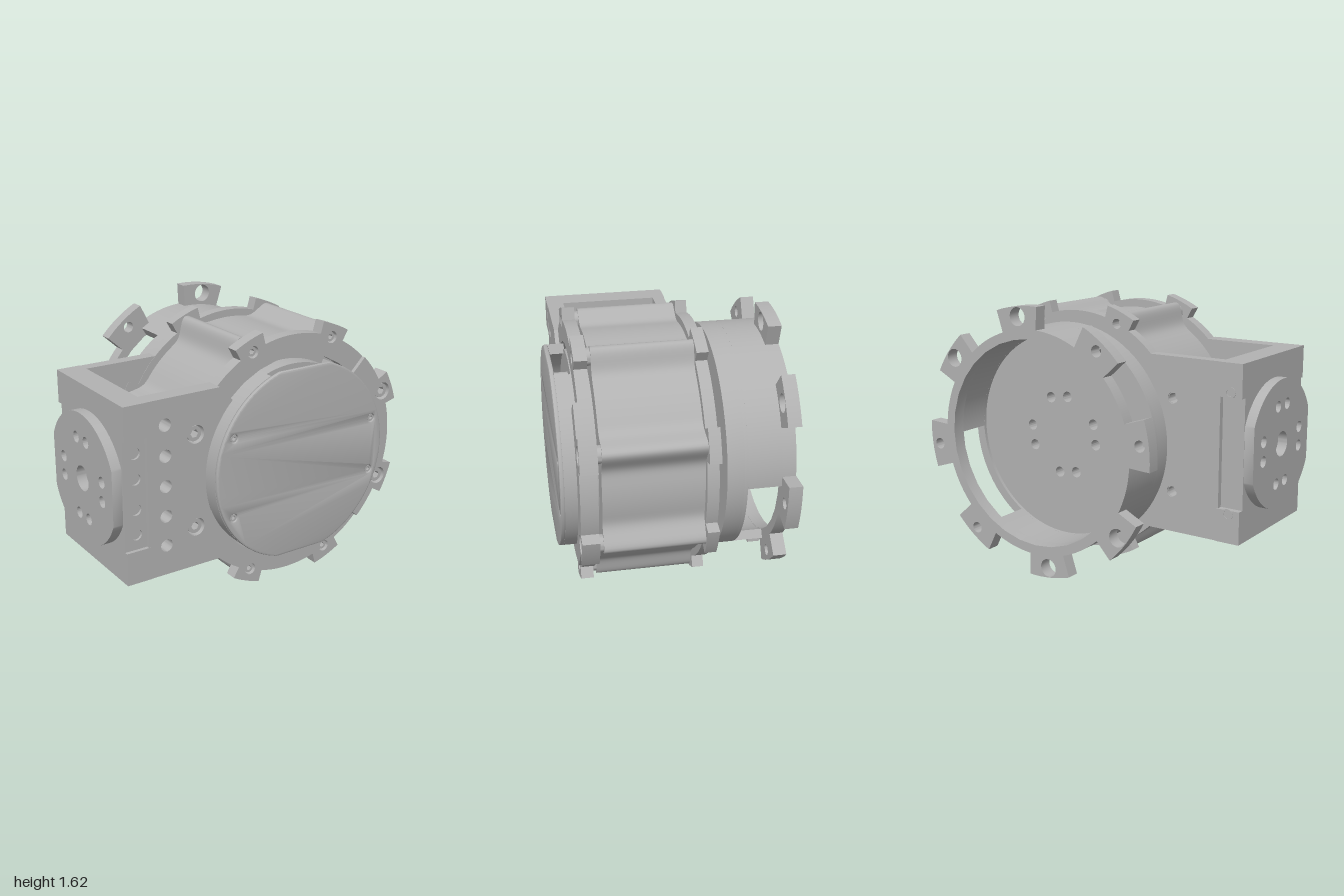
import * as THREE from 'three';
import { toCreasedNormals } from 'three/addons/utils/BufferGeometryUtils.js';

const rad = THREE.MathUtils.degToRad;
const polar = (r, deg) => [r * Math.cos(rad(deg)), r * Math.sin(rad(deg))];

export function createModel() {
  const model = new THREE.Group();
  const metal = new THREE.MeshStandardMaterial({ color: 0xb2b2b2 });
  metal.name = 'machined grey metal';

  // everything round shares one axis, parallel to z
  const unit = new THREE.Group();
  unit.name = 'actuator';
  unit.position.set(0.19, 0.808, 0);
  model.add(unit);

  function add(parent, name, geometry) {
    const mesh = new THREE.Mesh(geometry, metal);
    mesh.name = name;
    parent.add(mesh);
    return mesh;
  }

  // shape extruded between two z positions
  function slab(parent, name, shape, z0, z1, segments = 16, bevel = 0) {
    const g = new THREE.ExtrudeGeometry(shape, {
      depth: z1 - z0 - 2 * bevel, curveSegments: segments, bevelEnabled: bevel > 0,
      bevelThickness: bevel, bevelSize: bevel, bevelOffset: -bevel, bevelSegments: 2,
    });
    g.translate(0, 0, z0 + bevel);
    return add(parent, name, toCreasedNormals(g, 0.5));
  }

  function hole(shape, x, y, r) {
    shape.holes.push(new THREE.Path().absarc(x, y, r, 0, Math.PI * 2, true));
    return shape;
  }

  const disc = (r) => new THREE.Shape().absarc(0, 0, r, 0, Math.PI * 2);

  function sector(inner, outer, from, to) {
    return new THREE.Shape()
      .absarc(0, 0, outer, rad(from), rad(to))
      .absarc(0, 0, inner, rad(to), rad(from), true);
  }

  // circle with two opposite flats
  function flatted(r, half, turn = 0) {
    const a = Math.asin(half / r);
    return new THREE.Shape()
      .absarc(0, 0, r, turn - a, turn + a)
      .absarc(0, 0, r, turn + Math.PI - a, turn + Math.PI + a);
  }

  // disc outline with eight mounting ears
  function eared(r, outer, first, half) {
    const s = new THREE.Shape();
    for (let i = 0; i < 8; i++) {
      const a = first + i * 45;
      s.absarc(0, 0, outer, rad(a - half), rad(a + half));
      s.absarc(0, 0, r, rad(a + half), rad(a + 45 - half));
    }
    return s;
  }

  const boltAngles = Array.from({ length: 8 }, (_, i) => 22.5 + 45 * i);
  const isSide = (a) => Math.abs(Math.cos(rad(a))) > 0.7;

  // motor body with a rounded rib around every bolt
  const outline = [];
  for (let i = 0; i < 360; i++) {
    const d = ((i % 45) - 22.5) / 5.5;
    const p = polar(0.695 + 0.107 * Math.exp(-d * d), i);
    outline.push(new THREE.Vector2(...p));
  }
  slab(unit, 'motor body', new THREE.Shape(outline), -0.137, 0.44);

  // front and back flanges
  const frontFlange = hole(eared(0.74, 0.812, 22.5, 7), 0, 0, 0.615);
  const backFlange = eared(0.74, 0.812, 22.5, 7);
  for (const a of boltAngles) {
    hole(frontFlange, ...polar(0.735, a), isSide(a) ? 0.055 : 0.036);
    hole(backFlange, ...polar(0.735, a), 0.03);
  }
  slab(unit, 'front flange', frontFlange, 0.465, 0.54);
  slab(unit, 'back flange', backFlange, -0.205, -0.137);
  slab(unit, 'motor face', disc(0.567), 0.44, 0.54, 48);

  // thicker right side of the front flange, with its two ears
  const raised = new THREE.Shape();
  raised.absarc(0, 0, 0.74, rad(-45), rad(-29.5));
  raised.absarc(0, 0, 0.812, rad(-29.5), rad(-15.5));
  raised.absarc(0, 0, 0.74, rad(-15.5), rad(15.5));
  raised.absarc(0, 0, 0.812, rad(15.5), rad(29.5));
  raised.absarc(0, 0, 0.74, rad(29.5), rad(45));
  raised.absarc(0, 0, 0.615, rad(45), rad(-45), true);
  for (const a of [-22.5, 22.5]) hole(raised, ...polar(0.735, a), 0.055);
  slab(unit, 'raised flange segment', raised, 0.54, 0.565);

  // socket screws
  function screw(name, x, y, r, z0, z1) {
    const s = disc(r);
    const hex = Array.from({ length: 6 }, (_, i) => new THREE.Vector2(...polar(r * 0.55, -60 * i)));
    s.holes.push(new THREE.Path(hex));
    slab(unit, name, s, z0, z1, 10).position.set(x, y, 0);
  }
  for (const a of boltAngles) {
    const [x, y] = polar(0.735, a);
    screw('flange screw', x, y, isSide(a) ? 0.045 : 0.029, 0.47, isSide(a) ? 0.55 : 0.525);
    slab(unit, 'screw spacer', disc(0.05), 0.435, 0.468).position.set(x, y, 0);
  }

  // front cover: capped shell, open at the top and bottom flats
  const cover = flatted(0.6, 0.575);
  for (const [x, y] of [[-0.485, 0.242], [0.515, 0.167], [0.515, -0.167], [-0.485, -0.242]]) {
    hole(cover, x, y, 0.024);
    screw('cover screw', x, y, 0.022, 0.62, 0.652);
  }
  slab(unit, 'front cover', cover, 0.632, 0.66, 48, 0.01);
  for (const a of [0, 180]) slab(unit, 'cover wall', sector(0.54, 0.6, a - 68, a + 68), 0.535, 0.635, 40);
  slab(unit, 'cover post', disc(0.03), 0.535, 0.635).position.set(0.025, 0.45, 0);

  // output shaft and cup
  slab(unit, 'output shaft', disc(0.3), -0.27, -0.2, 40);
  const floor = disc(0.676);
  for (let i = 0; i < 4; i++) {
    for (const d of [-15, 15]) hole(floor, ...polar(0.24, 82.5 + 90 * i + d), 0.032);
  }
  slab(unit, 'cup floor', floor, -0.365, -0.265, 48);
  slab(unit, 'cup lower wall', hole(disc(0.676), 0, 0, 0.62), -0.385, -0.365, 48);
  for (const a of [0, 180]) {
    slab(unit, 'cup wall', sector(0.62, 0.676, a - 2, a + 122), -0.58, -0.385, 40);
  }

  // output ring with eight ears
  const ring = hole(eared(0.676, 0.81, 37.5, 10.5), 0, 0, 0.62);
  for (let i = 0; i < 8; i++) {
    hole(ring, ...polar(0.75, 37.5 + 45 * i), i % 4 < 2 ? 0.055 : 0.034);
  }
  slab(unit, 'output ring', ring, -0.66, -0.58);

  // bracket cheeks that reach from the flanges to the end wall
  function cheek(innerRadius) {
    const s = new THREE.Shape();
    s.moveTo(-0.99, -0.526);
    s.lineTo(-0.52, -0.526);
    s.lineTo(...polar(0.69, 225));
    s.absarc(0, 0, innerRadius, rad(225), rad(135), true);
    s.lineTo(...polar(0.69, 135));
    s.lineTo(-0.52, 0.526);
    s.lineTo(-0.99, 0.526);
    return s;
  }
  const frontCheek = cheek(0.615);
  const backCheek = cheek(0.6);
  for (const a of [157.5, 202.5]) {
    hole(frontCheek, ...polar(0.735, a), 0.055);
    hole(backCheek, ...polar(0.735, a), 0.034);
  }
  for (let i = -2; i <= 2; i++) hole(frontCheek, -0.875, 0.18 * i + 0.015, 0.038);
  slab(unit, 'front bracket cheek', frontCheek, 0.46, 0.565);
  slab(unit, 'back bracket cheek', backCheek, -0.213, -0.139);

  // end wall: full-depth corners and a slightly recessed middle
  const bracket = new THREE.Group();
  bracket.name = 'bracket end wall';
  model.add(bracket);
  for (const [y0, y1] of [[0.282, 0.48], [1.136, 1.334]]) {
    const box = add(bracket, 'wall corner block', new THREE.BoxGeometry(0.15, y1 - y0, 0.785));
    box.position.set(-0.865, (y0 + y1) / 2, 0.1745);
    const back = slab(bracket, 'back pin socket', hole(disc(0.034), 0, 0, 0.022), -0.222, -0.215);
    back.position.set(-0.865, y0 < 0.5 ? 0.455 : 1.165, 0);
  }
  add(bracket, 'wall middle', new THREE.BoxGeometry(0.15, 0.66, 0.71)).position.set(-0.865, 0.808, 0.175);
  const strip = new THREE.Shape([[-0.94, 0.48], [-0.79, 0.48], [-0.79, 1.136], [-0.94, 1.136]]
    .map((p) => new THREE.Vector2(...p)));
  for (const y of [0.57, 0.72, 0.9, 1.05]) hole(strip, -0.865, y, 0.034);
  slab(bracket, 'recessed front strip', strip, 0.525, 0.545);

  // side mounting disc with flats, bore and bolt circle
  const hub = hole(flatted(0.39, 0.355, Math.PI / 2), 0, 0, 0.075);
  for (let i = 0; i < 4; i++) {
    for (const d of [-14, 14]) hole(hub, ...polar(0.24, 90 * i + d), 0.034);
  }
  const hubMesh = slab(model, 'side mounting disc', hub, 0, 0.06, 32);
  hubMesh.rotation.y = -Math.PI / 2;
  hubMesh.position.set(-0.94, 0.808, 0.178);

  return model;
}
